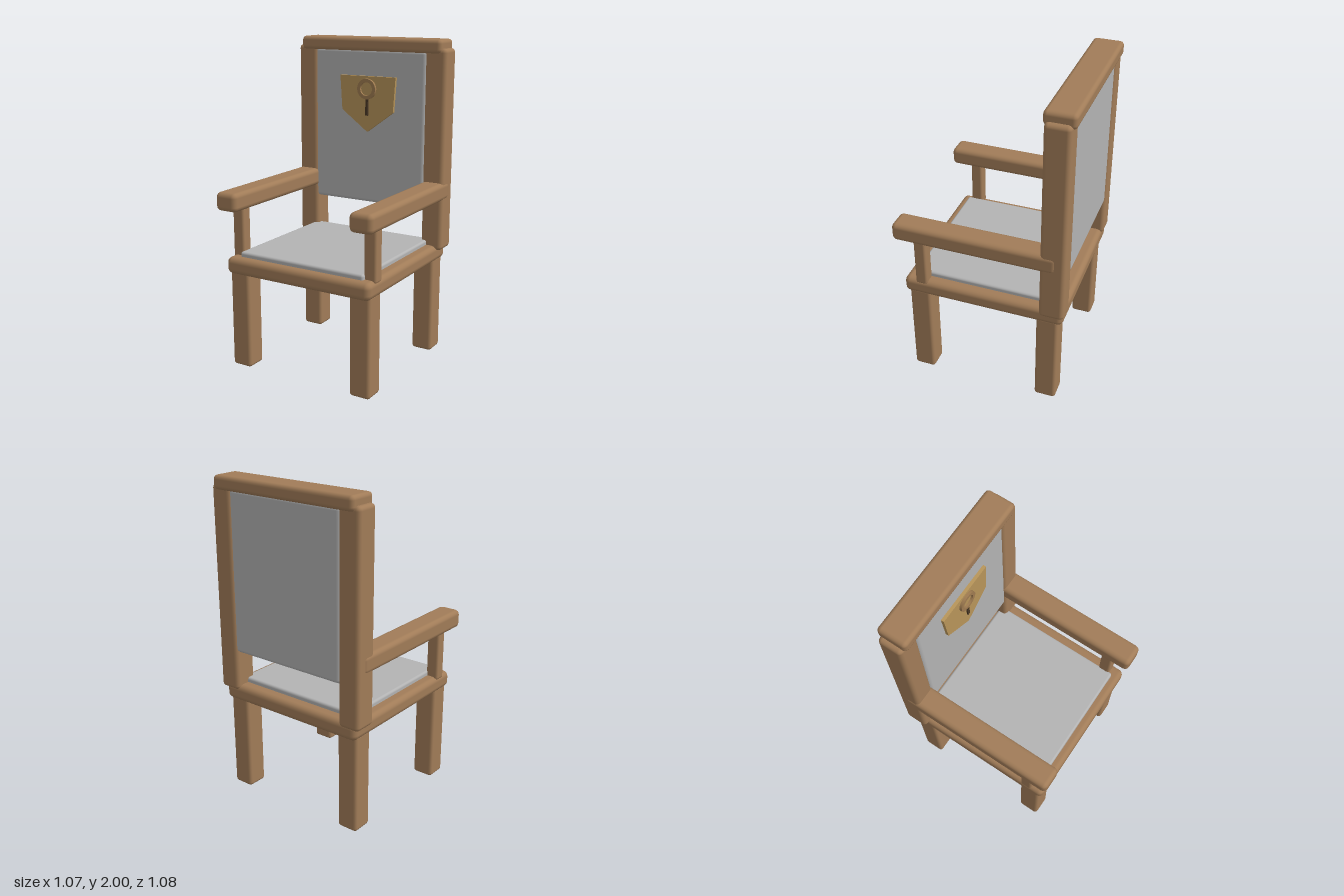
import * as THREE from 'three';
import { RoundedBoxGeometry } from 'three/addons/geometries/RoundedBoxGeometry.js';

const material = (name, color) => {
  const m = new THREE.MeshStandardMaterial({ color });
  m.name = name;
  return m;
};

export function createModel() {
  const chair = new THREE.Group();
  chair.name = 'armchair';
  const wood = material('wood', 0xa17c58);
  const fabric = material('grey fabric', 0xb3b3b3);
  const gold = material('gold', 0xb8955a);
  const bronze = material('bronze', 0x9f7b50);
  const dark = material('dark slot', 0x4a3826);

  const add = (name, geometry, mat) => {
    const mesh = new THREE.Mesh(geometry, mat);
    mesh.name = name;
    chair.add(mesh);
    return mesh;
  };

  // Soft-edged block between its low and high bounds on each axis
  const block = (name, mat, [x0, x1], [y0, y1], [z0, z1], radius) => {
    const geometry = new RoundedBoxGeometry(x1 - x0, y1 - y0, z1 - z0, 2, radius);
    geometry.translate((x0 + x1) / 2, (y0 + y1) / 2, (z0 + z1) / 2);
    return add(name, geometry, mat);
  };

  // The same block on the left and right sides
  const pair = (name, mat, [x0, x1], y, z, radius) => {
    block(name + 'Left', mat, [x0, x1], y, z, radius);
    block(name + 'Right', mat, [-x1, -x0], y, z, radius);
  };

  // Legs, uprights and arms
  pair('frontLeg', wood, [0.355, 0.49], [0, 0.63], [0.335, 0.47], 0.02);
  pair('backLeg', wood, [0.355, 0.49], [0, 0.63], [-0.48, -0.345], 0.02);
  pair('backPost', wood, [0.39, 0.53], [0.68, 1.945], [-0.52, -0.37], 0.025);
  pair('armSupport', wood, [0.42, 0.5], [0.69, 1.04], [0.345, 0.42], 0.015);
  pair('armrest', wood, [0.387, 0.535], [1.005, 1.12], [-0.47, 0.54], 0.03);

  // Seat and back
  block('seatFrame', wood, [-0.5, 0.5], [0.605, 0.71], [-0.51, 0.5], 0.035);
  block('seatCushion', fabric, [-0.43, 0.43], [0.67, 0.74], [-0.43, 0.445], 0.015);
  block('backPanel', fabric, [-0.4, 0.4], [0.935, 1.93], [-0.515, -0.372], 0.025);
  block('topRail', wood, [-0.5, 0.5], [1.915, 2], [-0.54, -0.355], 0.025);

  // Pointed plate on the backrest
  const plate = new THREE.Shape([
    [-0.2, 1.76], [-0.185, 1.54], [0, 1.405], [0.185, 1.54], [0.2, 1.76],
  ].map(([x, y]) => new THREE.Vector2(x, y)));
  add('backPlate', new THREE.ExtrudeGeometry(plate, { depth: 0.023, bevelEnabled: false }), gold)
    .position.z = -0.375;

  // Keyhole: raised ring, disc within it, and slot below
  const ring = new THREE.Shape().absarc(0, 0, 0.065, 0, Math.PI * 2);
  ring.holes.push(new THREE.Path().absarc(0, 0, 0.043, 0, Math.PI * 2, true));
  add('keyholeRing', new THREE.ExtrudeGeometry(ring, {
    depth: 0.02, bevelEnabled: false, curveSegments: 24,
  }), bronze).position.set(0, 1.68, -0.355);
  add('keyholeDisc', new THREE.CircleGeometry(0.044, 32), gold).position.set(0, 1.68, -0.349);
  add('keyholeSlot', new THREE.BoxGeometry(0.018, 0.11, 0.009), dark).position.set(0, 1.565, -0.3475);

  return chair;
}
